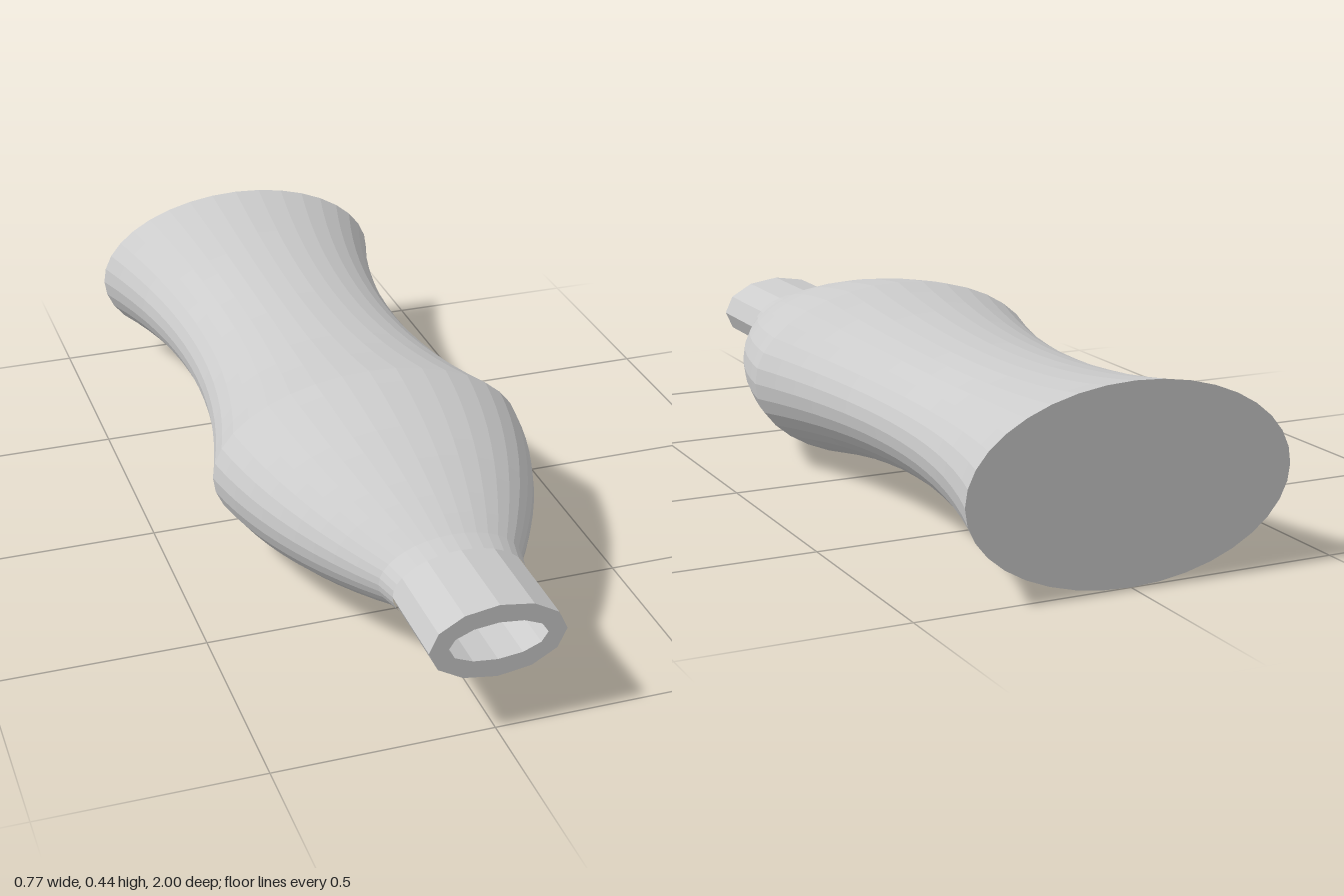
import * as THREE from 'three';

const CENTRE_Y = 0.222;
const FLATTEN = 0.573; // height / width of the oval section
const WALL = 0.043;

// Oval lathe along z from [radius, z] points; inset moves the surface inwards.
function ovalLathe(profile, sides, inset = 0) {
  const points = profile.map(([r, z]) => new THREE.Vector2(r, z));
  const geometry = new THREE.LatheGeometry(points, sides);
  geometry.rotateX(Math.PI / 2);
  const p = geometry.attributes.position;
  for (let i = 0; i < p.count; i++) {
    const x = p.getX(i), y = p.getY(i), r = Math.hypot(x, y);
    const k = r > 1e-4 ? inset / r : 0;
    p.setXY(i, x * (1 - k), y * (FLATTEN - k));
  }
  geometry.translate(0, CENTRE_Y, 0);
  geometry.computeVertexNormals();
  return geometry;
}

// Corner points of a flat oval
function ovalPoints(rx, ry, sides) {
  return Array.from({ length: sides }, (_, i) => {
    const a = (i / sides) * Math.PI * 2;
    return new THREE.Vector2(rx * Math.cos(a), ry * Math.sin(a));
  });
}

export function createModel() {
  const group = new THREE.Group();
  const material = new THREE.MeshStandardMaterial({ color: 0xcccccc, flatShading: true });
  const add = (name, geometry) => {
    const mesh = new THREE.Mesh(geometry, material);
    mesh.name = name;
    group.add(mesh);
  };
  const bodySides = 36, neckSides = 12, neckR = 0.155;

  // Side wall from base to neck: concave grip, then convex shoulder
  const wall = [];
  for (let i = 0; i <= 16; i++) {
    const t = i / 8 - 1;
    wall.push([0.29 + 0.097 * t * t, -0.42 + 0.58 * t]);
  }
  for (let i = 1; i <= 10; i++) {
    const t = i / 10;
    wall.push([0.387 - 0.219 * t + 0.14 * t * (1 - t), 0.16 + 0.56 * t]);
  }
  wall.push([neckR, 0.775]);
  add('body', ovalLathe([[0, -1], ...wall], bodySides));

  // Hollow inside, facing inwards, with a floor one wall above the base
  const cavity = wall.map(([r, z]) => [r, Math.max(z, WALL - 1)]).reverse();
  add('bodyInside', ovalLathe([...cavity, [0, WALL - 1]], bodySides, WALL));

  // Neck tube and its flat rim
  add('neck', ovalLathe([[neckR, 0.765], [neckR, 1]], neckSides));
  add('neckInside', ovalLathe([[neckR, 1], [neckR, 0.765]], neckSides, WALL));
  const rim = new THREE.Shape(ovalPoints(neckR, neckR * FLATTEN, neckSides));
  rim.holes.push(new THREE.Path(ovalPoints(neckR - WALL, neckR * FLATTEN - WALL, neckSides)));
  add('rim', new THREE.ShapeGeometry(rim).translate(0, CENTRE_Y, 1));

  return group;
}
